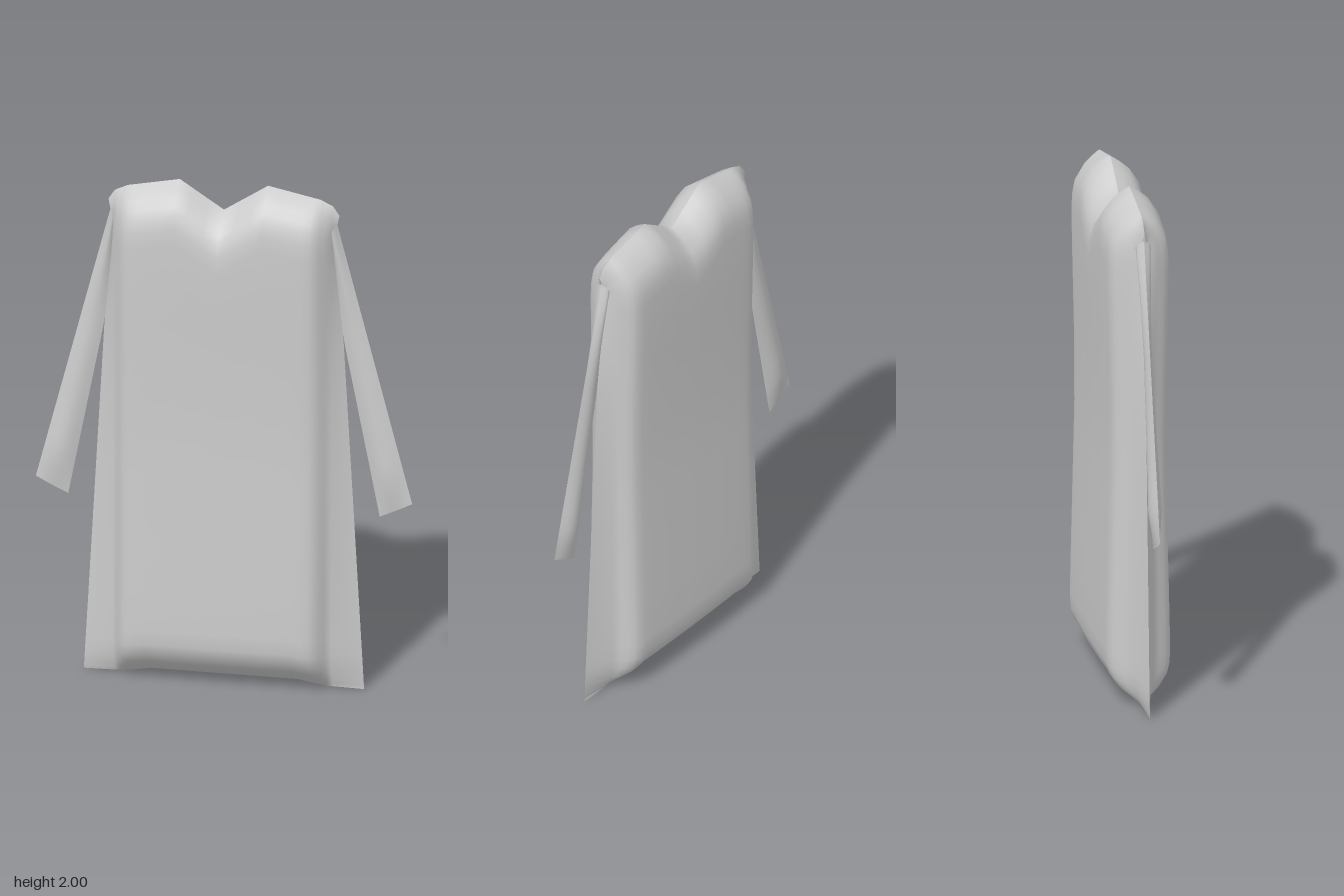
import * as THREE from 'three';

// Piecewise-linear lookup through [key, value] pairs
function lerpTable(table, k) {
  if (k <= table[0][0]) return table[0][1];
  for (let i = 1; i < table.length; i++) {
    const [k0, v0] = table[i - 1], [k1, v1] = table[i];
    if (k <= k1) return v0 + (v1 - v0) * (k - k0) / (k1 - k0);
  }
  return table[table.length - 1][1];
}

// Smooth sheet over a grid of points; columns run along +x, rows along +y
function sheet(cols, rows, point, flip) {
  const pos = [], index = [];
  for (let j = 0; j < rows; j++)
    for (let i = 0; i < cols; i++) pos.push(...point(i, j));
  for (let j = 0; j < rows - 1; j++)
    for (let i = 0; i < cols - 1; i++) {
      const a = j * cols + i, b = a + 1, c = a + cols, d = c + 1;
      if (flip) index.push(a, d, b, a, c, d);
      else index.push(a, b, d, a, d, c);
    }
  const g = new THREE.BufferGeometry();
  g.setAttribute('position', new THREE.Float32BufferAttribute(pos, 3));
  g.setIndex(index);
  g.computeVertexNormals();
  return g;
}

// Garment outline
const halfWidth = [[0, 0.54], [1.41, 0.46], [1.8, 0.425], [1.86, 0.435], [1.9, 0.445]];
const neckline = [[0, 1.89], [0.17, 2], [0.37, 1.96], [0.425, 1.935], [0.44, 1.9]];
const hem = [[0.28, 0.02], [0.38, 0.004], [0.45, 0]];

// Padding: overall depth by height, falloff towards the sides, top and hem
const depth = [[0, 0.135], [0.3, 0.13], [0.6, 0.122], [1, 0.112], [1.3, 0.115], [1.7, 0.125], [2, 0.125]];
const sideFall = [[0, 1], [0.2, 0.98], [0.32, 0.94], [0.36, 0.89], [0.38, 0.74], [0.4, 0.52], [0.425, 0.25], [0.46, 0.13], [0.54, 0]];
const topFall = [[0, 0], [0.02, 0.28], [0.05, 0.57], [0.11, 0.89], [0.16, 0.97], [0.22, 1]];
const hemFall = [[0, 0], [0.03, 0.35], [0.06, 0.65], [0.1, 0.88], [0.14, 0.97], [0.2, 1]];

const colX = [0, 0.06, 0.12, 0.17, 0.23, 0.28, 0.32, 0.35, 0.37, 0.385, 0.4, 0.42, 0.44];
const columns = [...colX.slice(1).reverse().map((x) => -x), ...colX];
const hemRows = [0, 0.015, 0.03, 0.06, 0.1, 0.14, 0.2];
const midRows = [0.1, 0.2, 0.3, 0.4, 0.5, 0.6, 0.7, 0.8, 0.9];
const topRows = [0.22, 0.16, 0.11, 0.08, 0.05, 0.02, 0];
const rowCount = hemRows.length + midRows.length + topRows.length;

function bodyPoint(i, j, sz) {
  const ax = Math.abs(columns[i]), edge = ax === 0.44;
  const top = lerpTable(neckline, ax);
  const bottom = lerpTable(hem, edge ? 0.54 : ax);
  const m = j - hemRows.length, t = m - midRows.length;
  let y;
  if (m < 0) y = bottom + hemRows[j];
  else if (t < 0) y = bottom + 0.2 + (top - 0.22 - bottom - 0.2) * midRows[m];
  else y = top - topRows[t];
  const w = lerpTable(halfWidth, y);
  const x = edge ? w : Math.min(ax, w - 0.004);
  let z = lerpTable(depth, y) * lerpTable(sideFall, x)
    * lerpTable(topFall, top - y) * lerpTable(hemFall, y - bottom);
  if (edge) z = y > 1.82 ? 0.25 * Math.min(y - 1.82, Math.max(0, 1.9 - y)) : 0;
  return [Math.sign(columns[i]) * x, y, sz * z];
}

// Sleeve: flat lens section between an outer and an inner edge
const outerEdge = (s) => [0.435 + 0.29 * s, 1.87 - 1.11 * s];
const innerX = [[0, 0.41], [0.41, 0.46], [1, 0.6]];
const innerY = [[0, 1.82], [0.41, 1.41], [1, 0.7]];
const puff = [[0, 0.03], [0.15, 0.022], [0.4, 0.014], [0.7, 0.02], [0.9, 0.026], [1, 0.004]];
const sleeveRows = 19, sleeveCols = 7;

function sleevePoint(i, j, sx, sz) {
  const s = 1 - j / (sleeveRows - 1), u = i / (sleeveCols - 1);
  const [ox, oy] = outerEdge(s);
  const ix = lerpTable(innerX, s), iy = lerpTable(innerY, s);
  return [sx * (ix + (ox - ix) * u), iy + (oy - iy) * u,
    sz * lerpTable(puff, s) * Math.sin(Math.PI * u)];
}

export function createModel() {
  const group = new THREE.Group();
  group.name = 'longSleevedGown';
  const cloth = new THREE.MeshStandardMaterial({ color: 0xcccccc, side: THREE.DoubleSide });
  cloth.name = 'pale grey cloth';

  const add = (name, geometry) => {
    const mesh = new THREE.Mesh(geometry, cloth);
    mesh.name = name;
    group.add(mesh);
  };

  for (const [face, sz] of [['Front', 1], ['Back', -1]]) {
    // Padded body panel
    add('body' + face, sheet(columns.length, rowCount, (i, j) => bodyPoint(i, j, sz), sz < 0));
    // Matching sleeve panels
    for (const [side, sx] of [['left', 1], ['right', -1]])
      add(side + 'Sleeve' + face,
        sheet(sleeveCols, sleeveRows, (i, j) => sleevePoint(i, j, sx, sz), sx * sz < 0));
  }
  return group;
}
